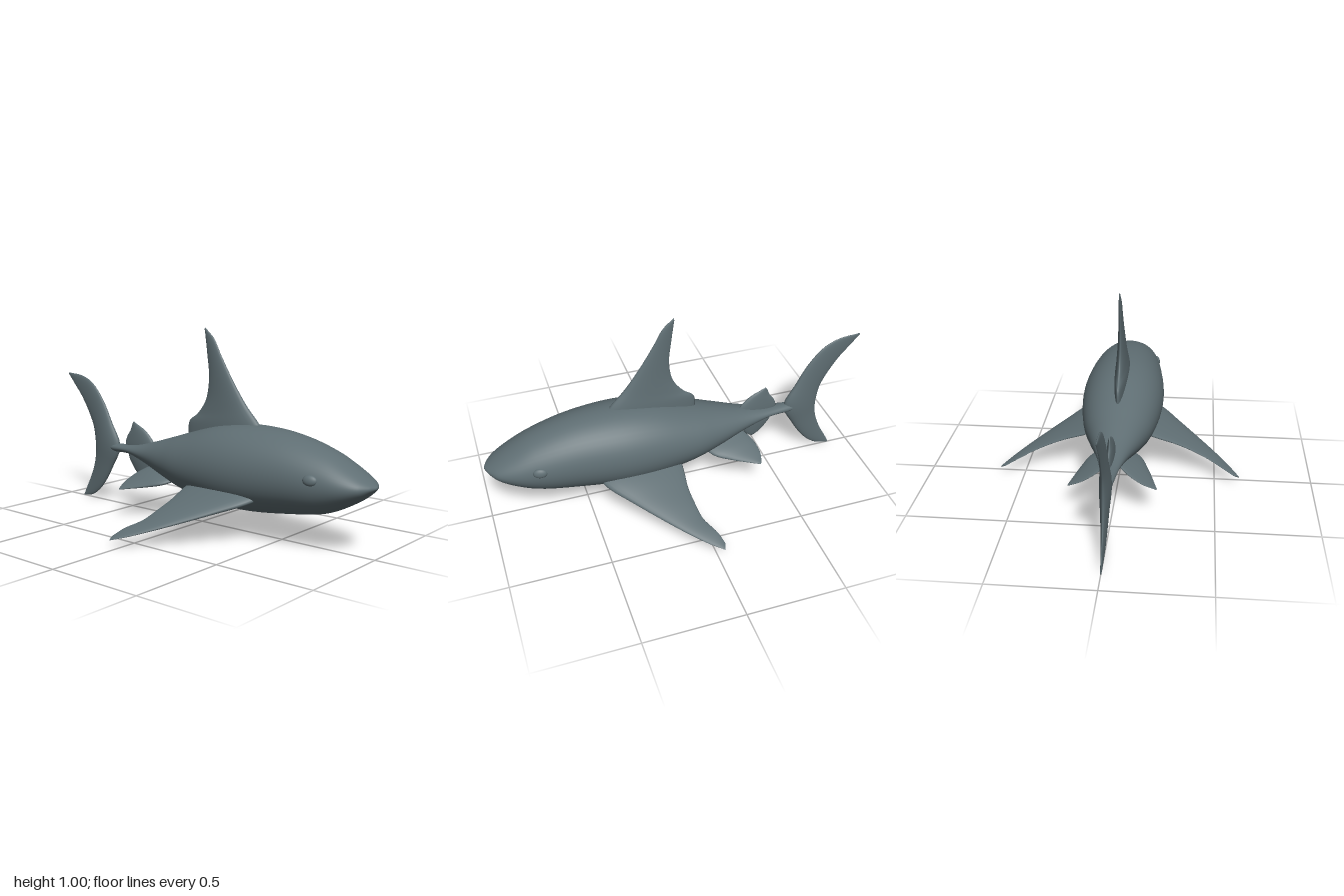
import * as THREE from 'three';

const V = (x, y, z) => new THREE.Vector3(x, y, z);

// Skin a closed surface over rings of points, capping both ends.
function loft(rings) {
  const n = rings[0].length, m = rings.length, pos = [], idx = [];
  rings.forEach(r => r.forEach(p => pos.push(p.x, p.y, p.z)));
  for (const r of [rings[0], rings[m - 1]]) {
    const c = r.reduce((s, p) => s.add(p), V(0, 0, 0)).divideScalar(n);
    pos.push(c.x, c.y, c.z);
  }
  for (let j = 0; j < n; j++) {
    const k = (j + 1) % n;
    for (let i = 0; i < m - 1; i++) {
      const a = i * n + j, b = i * n + k;
      idx.push(a, b, a + n, b, b + n, a + n);
    }
    idx.push(m * n, k, j, m * n + 1, (m - 1) * n + j, (m - 1) * n + k);
  }
  // Turn the faces outward if the signed volume is negative.
  const at = i => V(pos[3 * i], pos[3 * i + 1], pos[3 * i + 2]);
  let vol = 0;
  for (let i = 0; i < idx.length; i += 3) vol += at(idx[i]).dot(at(idx[i + 1]).cross(at(idx[i + 2])));
  if (vol < 0) idx.reverse();
  const g = new THREE.BufferGeometry();
  g.setAttribute('position', new THREE.Float32BufferAttribute(pos, 3));
  g.setIndex(idx);
  g.computeVertexNormals();
  return g;
}

// Fin from matching leading and trailing points, with half thickness per station.
function fin(lead, trail, thick, normal, steps = 32, sides = 28) {
  const L = new THREE.CatmullRomCurve3(lead), T = new THREE.CatmullRomCurve3(trail);
  const H = new THREE.CatmullRomCurve3(thick.map((t, i) => V(i, t, 0)));
  const rings = [];
  for (let i = 0; i <= steps; i++) {
    const u = i / steps, a = L.getPoint(u), b = T.getPoint(u), h = H.getPoint(u).y;
    const mid = a.clone().add(b).multiplyScalar(0.5), half = a.clone().sub(b).multiplyScalar(0.5);
    const ring = [];
    for (let j = 0; j < sides; j++) {
      const w = j / sides * Math.PI * 2;
      ring.push(mid.clone().addScaledVector(half, Math.cos(w))
        .addScaledVector(normal, Math.sin(w) * h * (0.9 + 0.25 * Math.cos(w))));
    }
    rings.push(ring);
  }
  return loft(rings);
}

// Fin lying in the middle plane, given as [z, y] pairs.
const midFin = (lead, trail, thick) =>
  fin(lead.map(([z, y]) => V(0, y, z)), trail.map(([z, y]) => V(0, y, z)), thick, V(1, 0, 0));

// Body stations: z, top, bottom, half width.
const BODY = [
  [1.0, 0.336, 0.326, 0.008], [0.985, 0.347, 0.312, 0.045], [0.95, 0.371, 0.28, 0.09],
  [0.88, 0.413, 0.235, 0.128], [0.76, 0.473, 0.18, 0.16], [0.56, 0.528, 0.145, 0.192],
  [0.32, 0.545, 0.122, 0.215], [0.14, 0.525, 0.13, 0.208], [-0.06, 0.468, 0.163, 0.175],
  [-0.2, 0.423, 0.205, 0.133], [-0.36, 0.375, 0.26, 0.08], [-0.5, 0.347, 0.297, 0.047],
  [-0.62, 0.34, 0.296, 0.03], [-0.65, 0.335, 0.3, 0.022], [-0.662, 0.322, 0.314, 0.006],
];

function bodyGeometry() {
  const spine = new THREE.CatmullRomCurve3(BODY.map(([z, t, b]) => V(t, b, z)));
  const width = new THREE.CatmullRomCurve3(BODY.map(([z, , , w]) => V(w, 0, z)));
  const rings = [];
  for (let i = 0; i <= 84; i++) {
    const p = spine.getPoint(i / 84), w = width.getPoint(i / 84).x, ring = [];
    for (let j = 0; j < 48; j++) {
      const a = j / 48 * Math.PI * 2;
      ring.push(V(w * Math.cos(a), (p.x + p.y) / 2 + (p.x - p.y) / 2 * Math.sin(a), p.z));
    }
    rings.push(ring);
  }
  return loft(rings);
}

export function createModel() {
  const model = new THREE.Group();
  model.name = 'shark';
  const skin = new THREE.MeshStandardMaterial({ color: 0x5f6e73 });
  skin.name = 'slate grey skin';
  const add = (name, geometry) => {
    const mesh = new THREE.Mesh(geometry, skin);
    mesh.name = name;
    model.add(mesh);
    return mesh;
  };

  add('body', bodyGeometry());

  // Fins along the middle
  add('dorsalFin', midFin(
    [[0.4, 0.45], [0.365, 0.535], [0.28, 0.63], [0.2, 0.74], [0.12, 0.87], [0.075, 0.95], [0.02, 1.0]],
    [[-0.09, 0.41], [-0.085, 0.52], [-0.03, 0.565], [0.025, 0.64], [0.045, 0.75], [0.032, 0.88], [0.018, 0.985]],
    [0.042, 0.039, 0.03, 0.021, 0.013, 0.009, 0.004]));
  add('secondDorsalFin', midFin(
    [[-0.32, 0.34], [-0.35, 0.39], [-0.4, 0.435], [-0.45, 0.46], [-0.485, 0.477]],
    [[-0.545, 0.32], [-0.547, 0.355], [-0.535, 0.39], [-0.51, 0.425], [-0.495, 0.46]],
    [0.022, 0.02, 0.015, 0.009, 0.003]));
  add('analFin', midFin(
    [[-0.34, 0.3], [-0.355, 0.25], [-0.375, 0.21], [-0.395, 0.187], [-0.415, 0.175]],
    [[-0.525, 0.32], [-0.52, 0.275], [-0.495, 0.235], [-0.465, 0.2], [-0.43, 0.175]],
    [0.022, 0.019, 0.014, 0.009, 0.003]));

  // Tail, from the upper tip to the lower tip
  add('tailFin', midFin(
    [[-1.0, 0.71], [-0.88, 0.698], [-0.8, 0.66], [-0.72, 0.57], [-0.655, 0.45], [-0.595, 0.325],
      [-0.65, 0.21], [-0.71, 0.115], [-0.77, 0.05], [-0.825, 0.018], [-0.885, 0.005]],
    [[-0.998, 0.7], [-0.945, 0.64], [-0.9, 0.59], [-0.845, 0.51], [-0.8, 0.42], [-0.784, 0.315],
      [-0.79, 0.235], [-0.81, 0.17], [-0.835, 0.115], [-0.86, 0.07], [-0.89, 0.012]],
    [0.003, 0.007, 0.011, 0.016, 0.022, 0.03, 0.022, 0.016, 0.011, 0.007, 0.003]));

  // Paired fins and eyes
  for (const [side, s] of [['left', 1], ['right', -1]]) {
    const pts = list => list.map(([x, y, z]) => V(s * x, y, z));
    add(side + 'PectoralFin', fin(
      pts([[0.1, 0.235, 0.48], [0.2, 0.205, 0.43], [0.3, 0.168, 0.335], [0.4, 0.13, 0.235],
        [0.5, 0.092, 0.13], [0.58, 0.06, 0.035], [0.628, 0.041, -0.035]]),
      pts([[0.1, 0.25, 0.03], [0.2, 0.212, 0.033], [0.29, 0.18, 0.042], [0.375, 0.148, 0.036],
        [0.46, 0.112, 0.02], [0.54, 0.082, -0.025], [0.595, 0.055, -0.046]]),
      [0.038, 0.032, 0.024, 0.018, 0.012, 0.007, 0.003], V(s * 0.36, 0.93, 0)));
    add(side + 'PelvicFin', fin(
      pts([[0.04, 0.225, -0.1], [0.125, 0.198, -0.16], [0.165, 0.18, -0.24],
        [0.195, 0.165, -0.32], [0.217, 0.153, -0.385]]),
      pts([[0.03, 0.25, -0.35], [0.08, 0.222, -0.385], [0.12, 0.2, -0.4],
        [0.16, 0.18, -0.405], [0.208, 0.157, -0.394]]),
      [0.024, 0.02, 0.014, 0.008, 0.003], V(s * 0.4, 0.92, 0)));

    const eye = add(side + 'Eye', new THREE.SphereGeometry(1, 24, 16));
    eye.scale.set(0.016, 0.025, 0.035);
    eye.position.set(s * 0.155, 0.357, 0.75);
    eye.rotation.set(0, -s * 0.2, s * 0.2);
  }
  return model;
}
